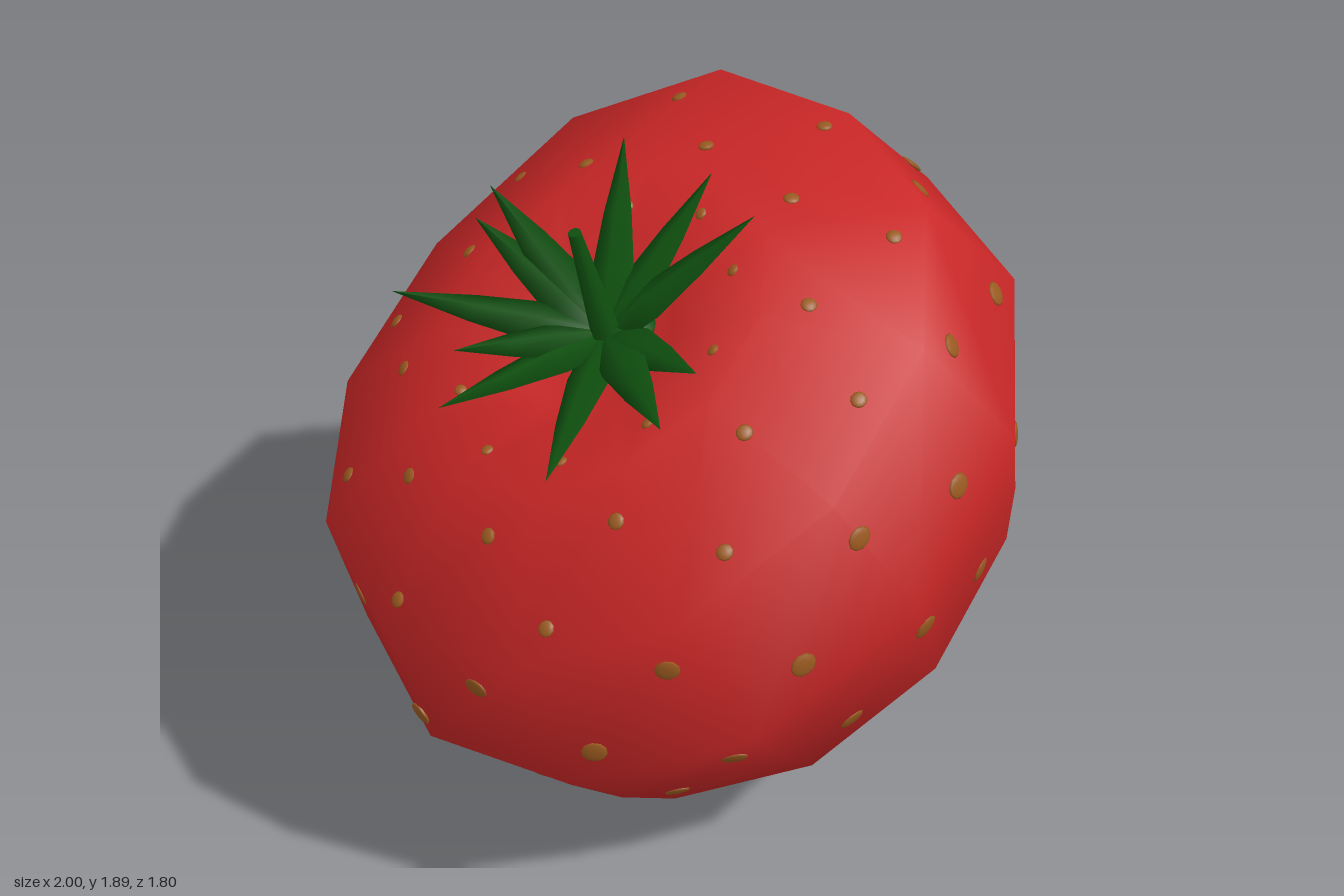
import * as THREE from 'three';

const TILT = Math.PI / 6;
const SIDES = 12;
const DEPTH = 0.876; // the fruit is slightly flattened front to back

// Fruit rings from tip to dimple: height along axis, centre offset, radius
const RINGS = [
  [-0.255, 0.628, 0], [-0.253, 0.628, 0.15], [-0.12, 0.606, 0.4], [0.135, 0.575, 0.607],
  [0.375, 0.54, 0.826], [0.65, 0.536, 0.945], [0.91, 0.535, 1.028], [1.34, 0.532, 0.913],
  [1.533, 0.533, 0.513], [1.46, 0.533, 0.22], [1.41, 0.533, 0],
];

function ringPoint(i, j) {
  const [y, centre, radius] = RINGS[i];
  const k = ((j % SIDES) + SIDES) % SIDES;
  const a = (k / SIDES) * Math.PI * 2;
  const p = new THREE.Vector3(centre + radius * Math.cos(a), y, radius * DEPTH * Math.sin(a));
  // Small bulge on the back shoulder
  if ((k === 10 || k === 11) && (i === 6 || i === 7)) p.add(new THREE.Vector3(0.06, 0, -0.05));
  return p;
}

// Point on the faceted skin; t is a fractional ring, a an angle
function skinPoint(t, a) {
  const i = Math.floor(t), u = (a / (Math.PI * 2)) * SIDES, j = Math.floor(u);
  const low = ringPoint(i, j).lerp(ringPoint(i, j + 1), u - j);
  const high = ringPoint(i + 1, j).lerp(ringPoint(i + 1, j + 1), u - j);
  return low.lerp(high, t - i);
}

function fruitGeometry() {
  const positions = [], index = [];
  RINGS.forEach((_, i) => {
    for (let j = 0; j < SIDES; j++) positions.push(...ringPoint(i, j).toArray());
  });
  const last = RINGS.length - 2;
  for (let i = 0; i <= last; i++) {
    for (let j = 0; j < SIDES; j++) {
      // The pole rings collapse to one shared vertex
      const id = (r, s) => r * SIDES + (r === 0 || r === last + 1 ? 0 : s % SIDES);
      const a = id(i, j), b = id(i + 1, j), c = id(i, j + 1), d = id(i + 1, j + 1);
      if (i > 0) index.push(a, b, c);
      if (i < last) index.push(c, b, d);
    }
  }
  const geometry = new THREE.BufferGeometry();
  geometry.setAttribute('position', new THREE.Float32BufferAttribute(positions, 3));
  geometry.setIndex(index);
  geometry.computeVertexNormals();
  return geometry;
}

export function createModel() {
  const material = (name, color) => {
    const m = new THREE.MeshStandardMaterial({ color });
    m.name = name;
    return m;
  };
  const red = material('fruit red', 0xc82626);
  const brown = material('seed brown', 0x98591f);
  const green = material('leaf green', 0x0f500f);

  const model = new THREE.Group();
  model.name = 'strawberry';
  const berry = new THREE.Group();
  berry.name = 'tiltedBerry';
  berry.rotation.z = TILT;
  model.add(berry);
  const add = (name, geometry, mat, parent = berry) => {
    const mesh = new THREE.Mesh(geometry, mat);
    mesh.name = name;
    parent.add(mesh);
    return mesh;
  };

  add('fruit', fruitGeometry(), red);

  // Staggered rows of seeds: ring position, half-step stagger, size
  const seeds = new THREE.Group();
  seeds.name = 'seeds';
  berry.add(seeds);
  const seedShape = new THREE.SphereGeometry(1, 10, 6);
  const rows = [
    [2.55, 1, 0.027], [3.54, 0, 0.03], [4.52, 1, 0.037], [5.48, 0, 0.037], [6.22, 1, 0.036],
    [6.71, 0, 0.034], [7.2, 1, 0.022], [7.71, 0, 0.022], [8.35, 1, 0.017],
  ];
  const up = new THREE.Vector3(0, 1, 0);
  for (const [t, stagger, size] of rows) {
    for (let n = 0; n < 10; n++) {
      const a = ((n + 0.5 - stagger / 2) * Math.PI) / 5;
      const along = skinPoint(t + 0.08, a).sub(skinPoint(t - 0.08, a));
      const around = skinPoint(t, a + 0.06).sub(skinPoint(t, a - 0.06));
      const seed = add('seed', seedShape, brown, seeds);
      seed.position.copy(skinPoint(t, a));
      seed.quaternion.setFromUnitVectors(up, along.cross(around).normalize());
      seed.scale.set(size, 0.008, size * 0.95);
    }
  }

  // Leafy crown
  const crown = new THREE.Group();
  crown.name = 'crown';
  berry.add(crown);
  const hub = add('crownHub', new THREE.SphereGeometry(0.13, 10, 6), green, crown);
  hub.position.set(0.55, 1.445, 0);
  hub.scale.y = 0.35;

  // Upright tip positions, brought into the tilted frame
  const toBerry = (x, y, z) => new THREE.Vector3(x, y, z).applyAxisAngle(new THREE.Vector3(0, 0, 1), -TILT);
  const tips = [
    [-0.58, 1.58, -0.48], [-0.31, 1.7, -0.47], [-0.25, 1.77, -0.48], [0.05, 1.885, -0.29],
    [0.1, 1.885, 0], [0.04, 1.885, 0.23], [-0.3, 1.65, 0.4], [-0.5, 1.63, 0.5],
    [-0.68, 1.44, 0.28], [-0.72, 1.475, -0.1], [-0.6, 1.55, -0.19],
  ];
  const leafProfile = [[0, 0], [0.05, 0.08], [0.062, 0.3], [0.04, 0.62], [0, 1]]
    .map(([x, y]) => new THREE.Vector2(x, y));
  const leafShape = new THREE.LatheGeometry(leafProfile, 4);
  const base = new THREE.Vector3(0.55, 1.46, 0);
  for (const tip of tips) {
    const dir = toBerry(...tip).sub(base);
    const length = dir.length();
    dir.normalize();
    const side = new THREE.Vector3().crossVectors(dir, up).normalize();
    const face = new THREE.Vector3().crossVectors(side, dir);
    const leaf = add('leaf', leafShape, green, crown);
    leaf.quaternion.setFromRotationMatrix(new THREE.Matrix4().makeBasis(side, dir, face));
    leaf.position.copy(base);
    leaf.scale.set(1, length, 0.4);
  }

  // Stem stub
  const top = toBerry(-0.35, 1.885, 0);
  const stemDir = top.clone().sub(base);
  const stem = add('stem', new THREE.CylinderGeometry(0.017, 0.04, stemDir.length(), 8), green, crown);
  stem.position.copy(base).add(top).multiplyScalar(0.5);
  stem.quaternion.setFromUnitVectors(up, stemDir.normalize());

  return model;
}
